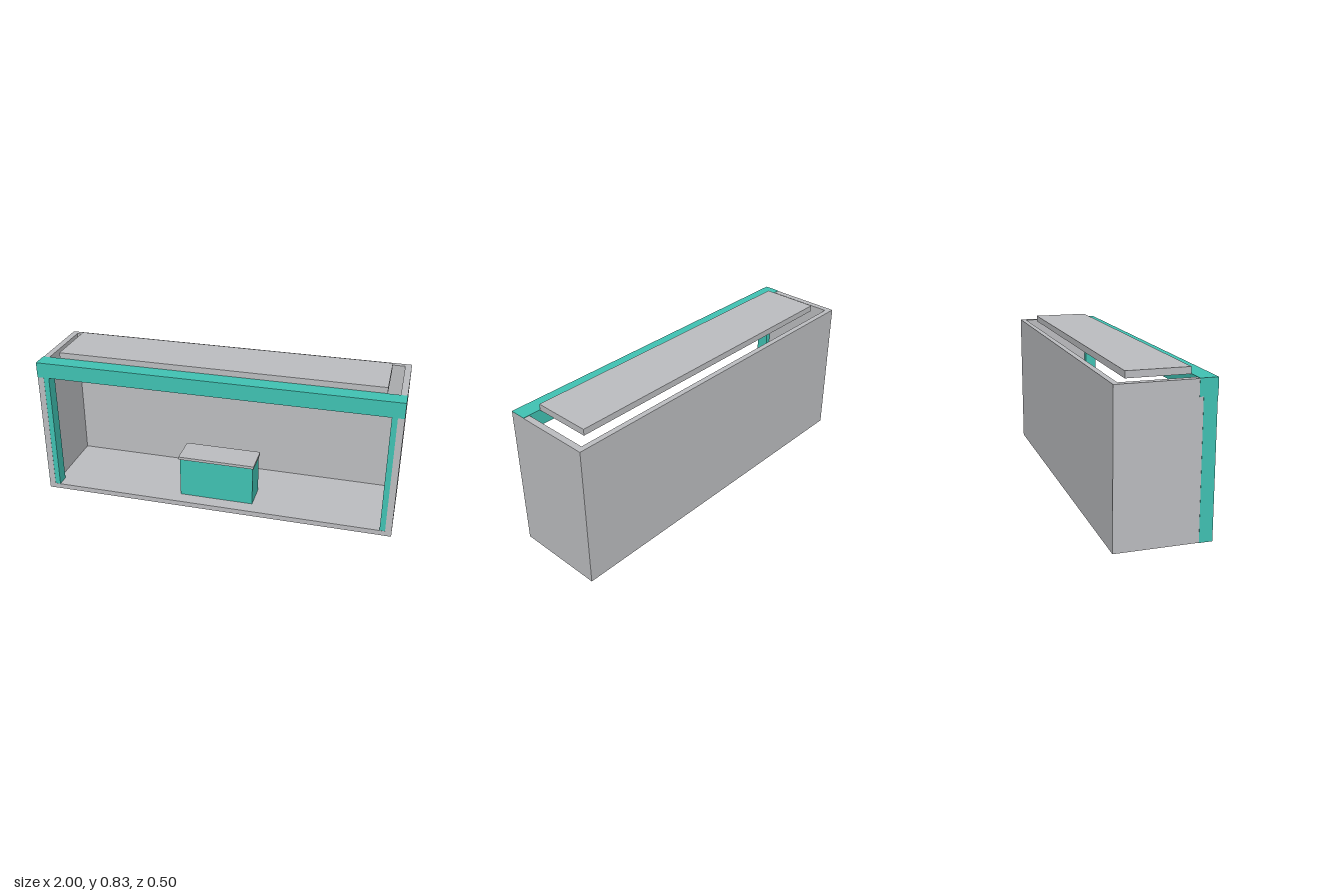
import * as THREE from 'three';

export function createModel() {
  const group = new THREE.Group();
  const grey = new THREE.MeshStandardMaterial({ name: 'panel grey', color: 0xbcbdc0 });
  const teal = new THREE.MeshStandardMaterial({ name: 'accent teal', color: 0x40c2b3 });

  // Box given by its two opposite corners
  function box(name, material, [x0, y0, z0], [x1, y1, z1]) {
    const geometry = new THREE.BoxGeometry(x1 - x0, y1 - y0, z1 - z0);
    const mesh = new THREE.Mesh(geometry, material);
    mesh.position.set((x0 + x1) / 2, (y0 + y1) / 2, (z0 + z1) / 2);
    mesh.name = name;
    group.add(mesh);
  }

  // Shell, open at the front and the top
  box('floor', grey, [-0.965, 0.001, -0.22], [0.965, 0.03, 0.25]);
  box('backWall', grey, [-0.965, 0.001, -0.25], [0.965, 0.8, -0.22]);
  box('leftWall', grey, [0.965, 0.001, -0.25], [1, 0.8, 0.25]);
  box('rightWall', grey, [-1, 0.001, -0.25], [-0.965, 0.8, 0.25]);

  // Front posts; the right one shows through the outside of its wall
  box('leftPost', teal, [0.935, 0, 0.18], [0.999, 0.8, 0.249]);
  box('rightPost', teal, [-1.001, 0, 0.18], [-0.935, 0.8, 0.249]);

  // Header beam across the front
  box('headerBeam', teal, [-1.001, 0.715, 0.16], [0.999, 0.802, 0.252]);
  box('beamEndCap', teal, [0.999, 0.8, 0.16], [1, 0.802, 0.252]);

  // Raised roof panel with a gap around it
  box('roofPanel', grey, [-0.9, 0.8, -0.163], [0.9, 0.835, 0.16]);

  // Counter
  box('counterBody', teal, [-0.212, 0, 0.015], [0.212, 0.263, 0.172]);
  box('counterTop', grey, [-0.218, 0.263, 0.007], [0.218, 0.279, 0.18]);

  return group;
}
